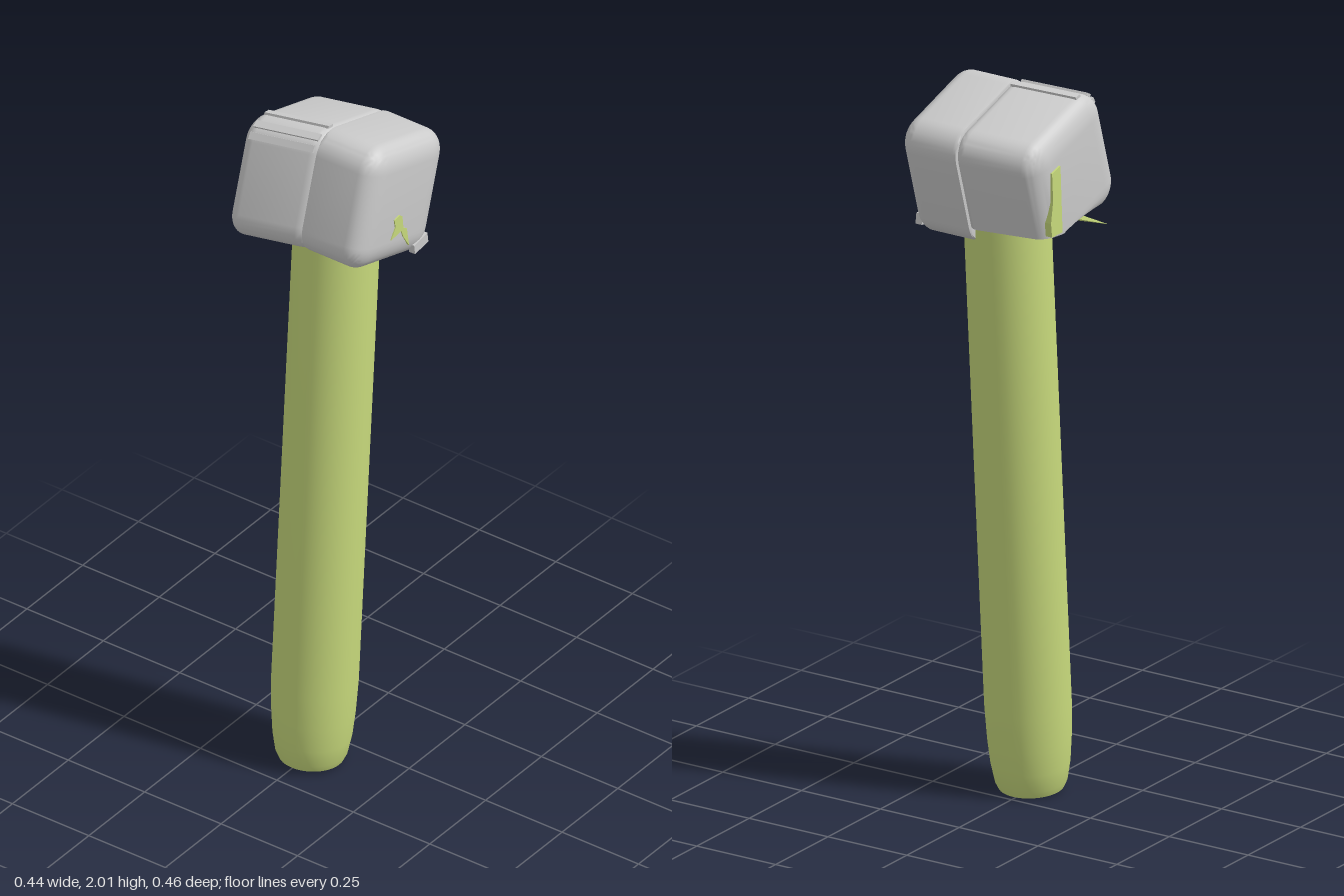
import * as THREE from 'three';
import { RoundedBoxGeometry } from 'three/addons/geometries/RoundedBoxGeometry.js';
import { toCreasedNormals } from 'three/addons/utils/BufferGeometryUtils.js';

const grey = new THREE.MeshStandardMaterial({ color: 0xcccccc });
const green = new THREE.MeshStandardMaterial({ color: 0xc8da7c });
const HEAD = { x: 0.012, y: 1.803, tilt: -0.297, size: 0.352, seam: 0.035 };

// Tilt a geometry into the head's frame, then move each vertex by a rule
function shapeHead(geometry, rule) {
  geometry.rotateZ(HEAD.tilt).translate(HEAD.x, HEAD.y, 0);
  const p = geometry.attributes.position;
  const v = new THREE.Vector3();
  for (let i = 0; i < p.count; i++) {
    rule(v.fromBufferAttribute(p, i));
    p.setXYZ(i, v.x, v.y, v.z);
  }
  geometry.computeVertexNormals();
  return toCreasedNormals(geometry, 0.6);
}

// The rear half slants sideways and sinks a little towards the back
function slant(v) {
  const d = Math.min(v.z - HEAD.seam, 0);
  v.x += d * 0.19;
  v.y += d * 0.06;
}

export function createModel() {
  const model = new THREE.Group();
  const add = (name, geometry, material, parent = model) => {
    const mesh = new THREE.Mesh(geometry, material);
    mesh.name = name;
    parent.add(mesh);
    return mesh;
  };

  // Leaning round handle with a rounded foot
  const profile = [[0, 0], [0.088, 0], [0.097, 0.02], [0.106, 0.07], [0.112, 0.14],
    [0.116, 0.24], [0.116, 1.74], [0, 1.74]].map(([r, y]) => new THREE.Vector2(r, y));
  const handle = add('handle', toCreasedNormals(new THREE.LatheGeometry(profile, 32), 0.6), green);
  handle.position.set(-0.107, 0.008, 0.008);
  handle.rotation.z = -0.07;

  const head = new THREE.Group();
  head.name = 'head';
  model.add(head);

  // Front block, flat where it meets the rear block
  const front = new RoundedBoxGeometry(HEAD.size, HEAD.size, 0.32, 5, 0.072);
  front.scale(1, 1, 0.72).translate(0, 0, 0.225 - 0.16 * 0.72);
  add('frontBlock', shapeHead(front, (v) => { v.z = Math.max(v.z, HEAD.seam); }), grey, head);

  // Rear block, slanted and cut level underneath
  const rear = new RoundedBoxGeometry(HEAD.size - 0.004, HEAD.size - 0.004, 0.4, 5, 0.07);
  rear.scale(1, 1, 0.62).translate(0, 0, -0.19 + 0.2 * 0.62);
  add('rearBlock', shapeHead(rear, (v) => {
    slant(v);
    v.y = Math.max(v.y, 1.65);
  }), grey, head);

  // Thin ribs along the slanted upper edge
  for (const degrees of [97, 138, 165]) {
    const a = THREE.MathUtils.degToRad(degrees);
    const rib = new THREE.BoxGeometry(0.02, 0.008, 0.185);
    rib.rotateZ(a - Math.PI / 2);
    rib.translate(-0.104 + 0.072 * Math.cos(a), 0.104 + 0.072 * Math.sin(a), -0.065);
    add('edgeRib', shapeHead(rib, slant), grey, head);
  }

  // Flat plate cut from an outline in the xy plane
  const plate = (name, points, z, depth) => {
    const shape = new THREE.Shape(points.map(([x, y]) => new THREE.Vector2(x, y)));
    const geometry = new THREE.ExtrudeGeometry(shape, { depth, bevelEnabled: false });
    add(name, geometry.translate(0, 0, z), green, head);
  };

  // Handle splinters showing through the faces
  plate('frontSplinter', [[-0.05, 1.72], [-0.03, 1.75], [-0.035, 1.775], [-0.012, 1.78], [0, 1.77],
    [0.005, 1.73], [0.02, 1.72], [0.03, 1.66], [0.005, 1.7], [-0.005, 1.725]], 0.22, 0.008);
  plate('rearSplinter', [[0.05, 1.66], [0.1, 1.66], [0.105, 1.7], [0.095, 1.76], [0.1, 1.84],
    [0.06, 1.85]], -0.195, 0.02);

  // Sharp splinter pointing backwards below the head
  const spike = new THREE.ConeGeometry(0.02, 0.14, 4);
  spike.scale(1, 1, 0.7).rotateX(-Math.PI / 2).translate(-0.115, 1.638, -0.16);
  add('spike', toCreasedNormals(spike, 0.3), green, head);

  // Small chip on the lower front edge
  const chip = add('chip', new THREE.BoxGeometry(0.06, 0.03, 0.02), grey, head);
  chip.position.set(0.09, 1.63, 0.214);
  chip.rotation.z = 0.15;

  return model;
}
